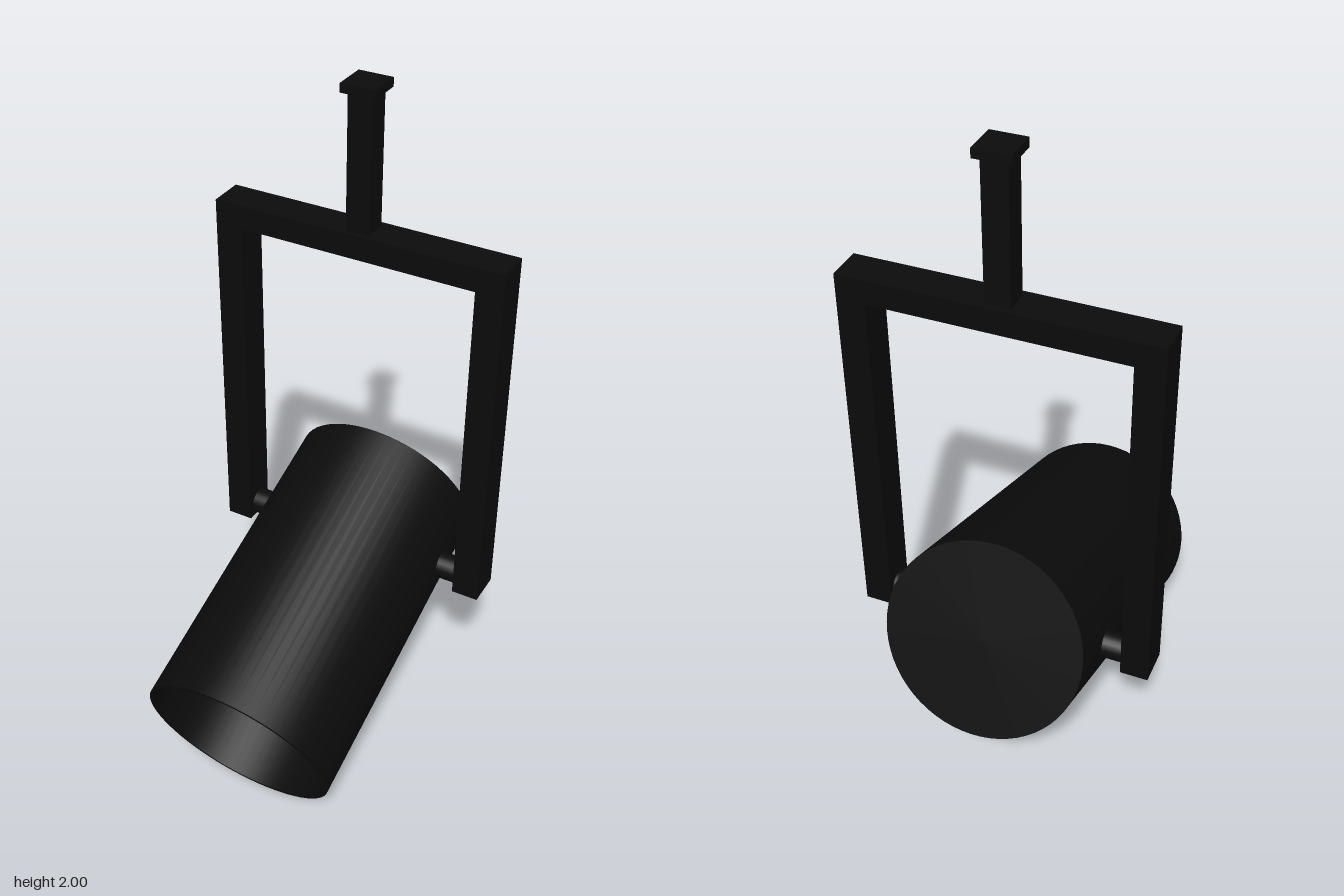
import * as THREE from 'three';
import { toCreasedNormals } from 'three/addons/utils/BufferGeometryUtils.js';

const PIVOT_Z = -0.265;

export function createModel() {
  const model = new THREE.Group();
  model.name = 'spotlight';
  const black = new THREE.MeshStandardMaterial({ color: 0x0b0b0b });

  function add(name, geometry, x, y, z) {
    const mesh = new THREE.Mesh(geometry, black);
    mesh.name = name;
    mesh.position.set(x, y, z);
    model.add(mesh);
    return mesh;
  }
  const box = (name, w, h, d, x, y) =>
    add(name, new THREE.BoxGeometry(w, h, d), x, y, PIVOT_Z);

  // Lamp can: closed back, thin wall and a recessed front, tilted downwards
  const R = 0.29, HALF = 0.48, WALL = 0.01, RECESS = 0.2;
  const profile = [
    [0, -HALF], [R, -HALF], [R, HALF],
    [R - WALL, HALF], [R - WALL, HALF - RECESS], [0, HALF - RECESS],
  ].map(([r, y]) => new THREE.Vector2(r, y));
  const can = add('lampCan',
    toCreasedNormals(new THREE.LatheGeometry(profile, 64), 0.6), 0, 0.437, 0);
  can.rotation.x = THREE.MathUtils.degToRad(110);

  // Yoke legs and the pivots that hold the can
  for (const [side, s] of [['left', 1], ['right', -1]]) {
    box(side + 'YokeLeg', 0.08, 1.1, 0.105, s * 0.392, 1.04);
    const pivot = add(side + 'Pivot',
      new THREE.CylinderGeometry(0.04, 0.04, 0.1, 24), s * 0.315, 0.53, PIVOT_Z);
    pivot.rotation.z = Math.PI / 2;
  }

  // Yoke crossbar, hanging stem and ceiling cap
  box('yokeCrossbar', 0.71, 0.07, 0.105, 0, 1.555);
  box('stem', 0.07, 0.39, 0.07, 0, 1.78);
  box('stemCap', 0.1, 0.025, 0.1, 0, 1.9875);

  return model;
}
